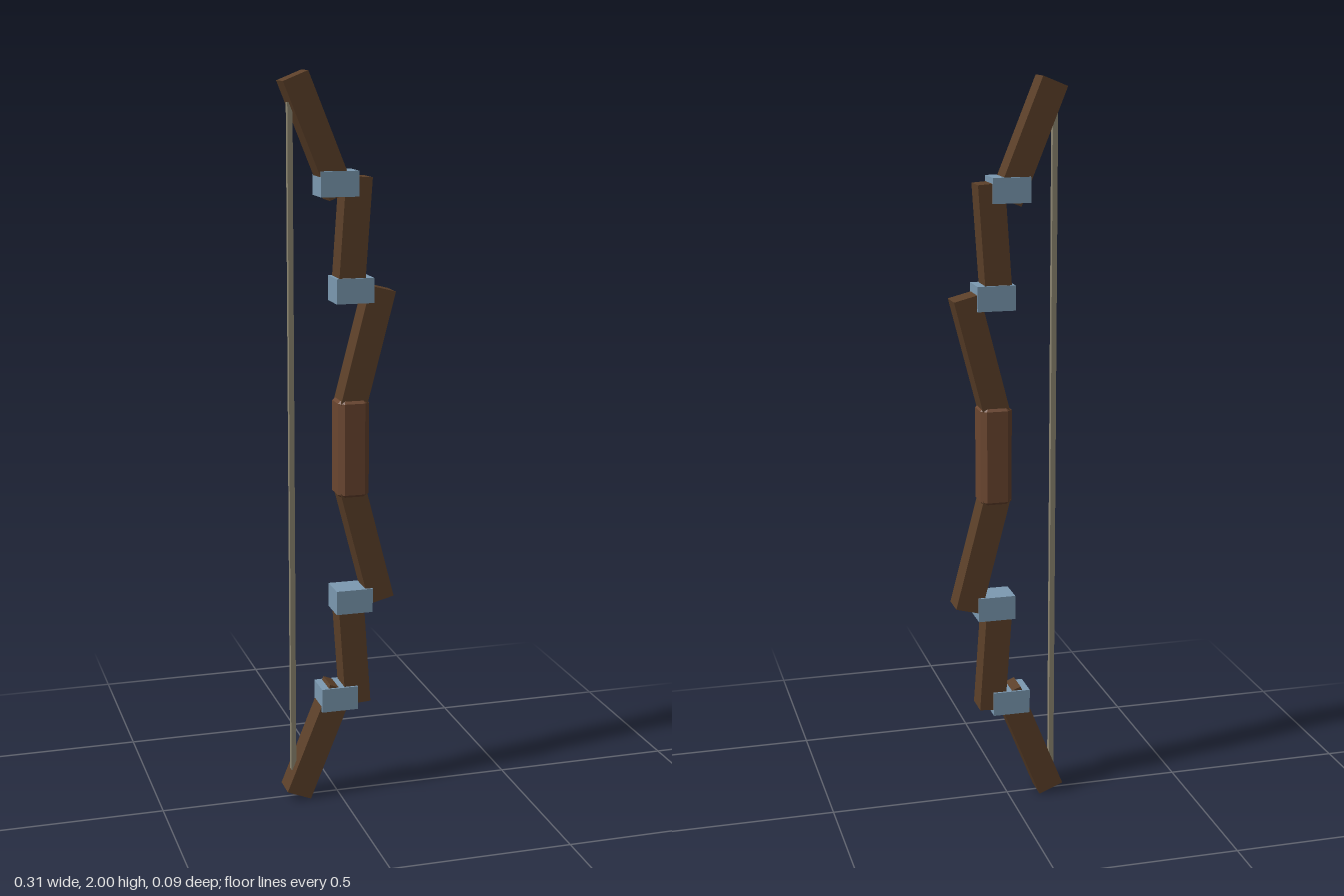
import * as THREE from 'three';

const wood = new THREE.MeshStandardMaterial({ color: 0x5c4029, flatShading: true });
const gripWood = new THREE.MeshStandardMaterial({ color: 0x6b4630, flatShading: true });
const metal = new THREE.MeshStandardMaterial({ color: 0x7c9ab2, flatShading: true });
const cord = new THREE.MeshStandardMaterial({ color: 0x8c8570, flatShading: true });

const THICK = 0.072; // limb width and depth
const SEGMENT = 0.33; // limb segment length

function box(name, material, [w, h, d], [x, y], angle = 0) {
  const mesh = new THREE.Mesh(new THREE.BoxGeometry(w, h, d), material);
  mesh.name = name;
  mesh.position.set(x, y, 0);
  mesh.rotation.z = THREE.MathUtils.degToRad(angle);
  return mesh;
}

// One limb; side is +1 for the upper limb, -1 for the lower, mirrored about y = 1
function createLimb(side) {
  const limb = new THREE.Group();
  limb.name = side > 0 ? 'upperLimb' : 'lowerLimb';
  const segments = [
    ['innerSegment', 0.0765, 0.273, -14.5],
    ['middleSegment', 0.0395, 0.564, -4],
    ['tipSegment', -0.058, 0.834, 22],
  ];
  for (const [name, x, dy, angle] of segments) {
    limb.add(box(name, wood, [THICK, SEGMENT, THICK], [x, 1 + side * dy], side * angle));
  }
  // Metal bands holding the joints
  for (const [name, x, dy] of [['innerBand', 0.039, 0.43], ['outerBand', -0.003, 0.711]]) {
    limb.add(box(name, metal, [0.103, 0.067, 0.084], [x, 1 + side * dy]));
  }
  return limb;
}

// Grip: square bar with all edges chamfered
function createGrip() {
  const bevel = 0.007, length = 0.266;
  const h = 0.0435 - bevel, c = 0.029 - bevel / 2;
  const outline = [[h, -c], [h, c], [c, h], [-c, h], [-h, c], [-h, -c], [-c, -h], [c, -h]];
  const geometry = new THREE.ExtrudeGeometry(
    new THREE.Shape(outline.map(([x, y]) => new THREE.Vector2(x, y))),
    { depth: length - 2 * bevel, bevelEnabled: true, bevelSegments: 1, bevelSize: bevel, bevelThickness: bevel }
  );
  geometry.center();
  geometry.rotateX(-Math.PI / 2);
  const grip = new THREE.Mesh(geometry, gripWood);
  grip.name = 'grip';
  grip.position.set(0.038, 1, 0);
  return grip;
}

export function createModel() {
  const bow = new THREE.Group();
  bow.name = 'bow';
  bow.add(createLimb(1), createLimb(-1), createGrip());
  bow.add(box('bowstring', cord, [0.014, 1.84, 0.016], [-0.128, 1]));
  return bow;
}
